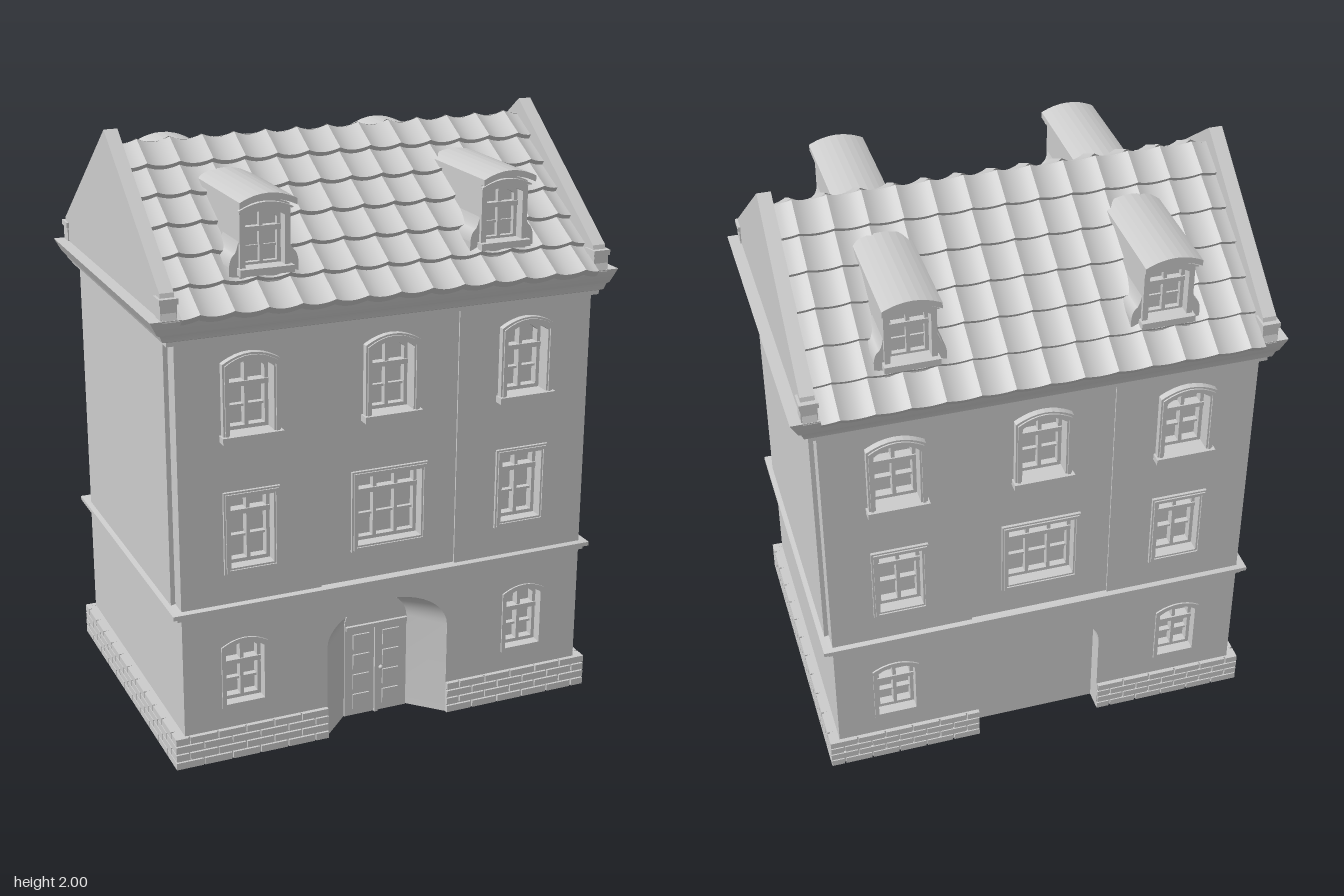
import * as THREE from 'three';
import { mergeGeometries, toCreasedNormals } from 'three/addons/utils/BufferGeometryUtils.js';

const stone = new THREE.MeshStandardMaterial({ color: 0xcccccc, side: THREE.DoubleSide });
stone.name = 'pale grey';

function add(parent, name, geo, x = 0, y = 0, z = 0) {
  const m = new THREE.Mesh(geo, stone);
  m.name = name;
  m.position.set(x, y, z);
  parent.add(m);
  return m;
}
const group = (parent, name) => {
  const g = new THREE.Group();
  g.name = name;
  parent.add(g);
  return g;
};
// Box given by its min and max corners
function block(parent, name, x0, x1, y0, y1, z0, z1) {
  return add(parent, name, new THREE.BoxGeometry(x1 - x0, y1 - y0, z1 - z0),
    (x0 + x1) / 2, (y0 + y1) / 2, (z0 + z1) / 2);
}
// Outline of an upright opening with a curved head; power 0.5 is elliptical, 1 a shallow segment
function archPoints(cx, w, y0, y1, rise, power = 1, n = 12) {
  const pts = [new THREE.Vector2(cx - w / 2, y0)];
  for (let i = 0; i <= n; i++) {
    const t = -Math.cos((i / n) * Math.PI);
    pts.push(new THREE.Vector2(cx + (t * w) / 2, y1 - rise + rise * Math.pow(Math.max(0, 1 - t * t), power)));
  }
  pts.push(new THREE.Vector2(cx + w / 2, y0));
  return pts;
}
function plate(outer, holes, depth) {
  const s = new THREE.Shape(outer);
  holes.forEach((h) => s.holes.push(new THREE.Path(h)));
  return new THREE.ExtrudeGeometry(s, { depth, bevelEnabled: false });
}
const rect = (x0, x1, y0, y1) =>
  [[x0, y0], [x1, y0], [x1, y1], [x0, y1]].map((p) => new THREE.Vector2(...p));

// Quads between successive cross-sections
function loft(rings, closed) {
  const n = rings[0].length, idx = [];
  for (let r = 0; r < rings.length - 1; r++) {
    for (let i = 0; i < (closed ? n : n - 1); i++) {
      const a = r * n + i, b = r * n + ((i + 1) % n);
      idx.push(a, b, b + n, a, b + n, a + n);
    }
  }
  const g = new THREE.BufferGeometry();
  g.setAttribute('position', new THREE.Float32BufferAttribute(rings.flat(2), 3));
  g.setIndex(idx);
  return toCreasedNormals(g, 0.5);
}
// Horizontal moulding from [halfX, halfZ, y] rings
const moulding = (rings) => loft(rings.map(([x, z, y]) => [[-x, y, z], [x, y, z], [x, y, -z], [-x, y, -z]]), true);

// Window set in a wall: surround, sash, glazing bars and optional sill
function windowUnit(parent, o, wall) {
  const g = group(parent, 'window');
  const { x, w, y0, y1, rise, b, proud } = o;
  const ow = w - 2 * b, t = 0.012;
  const hole = archPoints(x, ow, y0 + b, y1 - b, rise);
  add(g, 'surround', plate(archPoints(x, w, y0, y1, rise), [hole], proud + 0.01), 0, 0, wall - 0.01);
  if (proud > 0.008) {
    add(g, 'outerTrim', plate(archPoints(x, w - 0.012, y0 + 0.006, y1 - 0.006, rise),
      [archPoints(x, ow + 0.012, y0 + b - 0.006, y1 - b + 0.006, rise)], 0.005), 0, 0, wall + proud);
  }
  add(g, 'sash', plate(hole, [archPoints(x, ow - 2 * t, y0 + b + t, y1 - b - t, rise)], 0.03), 0, 0, wall - 0.06);
  const ym = y0 + (y1 - y0) * o.transom;
  block(g, 'transom', x - ow / 2, x + ow / 2, ym - 0.008, ym + 0.008, wall - 0.06, wall - 0.025);
  for (let i = 1; i < o.cols; i++) {
    const mx = x - ow / 2 + (ow * i) / o.cols;
    block(g, 'mullion', mx - 0.006, mx + 0.006, y0 + b, y1 - b, wall - 0.06, wall - 0.03);
  }
  const yb = (y0 + b + ym) / 2;
  block(g, 'glazingBar', x - ow / 2, x + ow / 2, yb - 0.004, yb + 0.004, wall - 0.06, wall - 0.04);
  if (o.sill) block(g, 'sill', x - w / 2 - 0.006, x + w / 2 + 0.006, y0, y0 + 0.022, wall - 0.04, wall + o.sill);
  return hole;
}

// One street face: ground floor with portal, three bays above
function facade(parent, name, hasDoor) {
  const g = group(parent, name);
  const portal = archPoints(0, 0.44, 0, 0.47, 0.14, 0.5, 20);
  const low = [[-0.72, 0], ...portal.map((p) => [p.x, p.y]), [0.72, 0], [0.72, 0.54], [-0.72, 0.54]]
    .map((p) => new THREE.Vector2(...p));
  const ground = [-0.51, 0.51].map((x) => windowUnit(g,
    { x, w: 0.16, y0: 0.185, y1: 0.43, rise: 0.025, b: 0.014, proud: 0.006, cols: 2, transom: 0.6 }, 0.525));
  add(g, 'groundWall', plate(low, ground, 0.06), 0, 0, 0.465);
  [-0.48, 0, 0.48].forEach((x, i) => {
    const mid = i === 1, wall = mid ? 0.519 : 0.525;
    const holes = [
      windowUnit(g, { x, w: mid ? 0.27 : 0.19, y0: 0.66, y1: 0.94, rise: 0, b: 0.022, proud: 0.01, cols: mid ? 3 : 2, transom: 0.7 }, wall),
      windowUnit(g, { x, w: 0.19, y0: 1.11, y1: 1.395, rise: 0.03, b: 0.022, proud: 0.022, cols: 2, transom: 0.6, sill: 0.036 }, wall),
    ];
    add(g, 'bayWall', plate(rect(x - 0.24, x + 0.24, 0.53, 1.46), holes, wall - 0.46), 0, 0, 0.46);
  });
  if (!hasDoor) return g;
  // Splayed reveal narrowing to a panelled door
  const inner = archPoints(0, 0.23, 0, 0.44, 0.1, 0.5, 20);
  add(g, 'doorReveal', loft([portal.map((p) => [p.x, p.y, 0.524]), inner.map((p) => [p.x, p.y, 0.42])], false));
  add(g, 'door', plate(inner, [], 0.02), 0, 0, 0.405);
  block(g, 'doorTransom', -0.112, 0.112, 0.325, 0.34, 0.42, 0.436);
  block(g, 'doorMeetingStile', -0.006, 0.006, 0, 0.325, 0.42, 0.434);
  for (const s of [-1, 1]) {
    [[0.025, 0.08], [0.1, 0.155], [0.175, 0.23], [0.25, 0.305]].forEach(([a, b]) =>
      block(g, 'doorPanel', s * 0.055 - 0.03, s * 0.055 + 0.03, a, b, 0.42, 0.431));
  }
  add(g, 'doorKnob', new THREE.SphereGeometry(0.008, 12, 8), 0.015, 0.17, 0.438);
  return g;
}

// Staggered brick courses along x, facing +z
function brickRun(a, b) {
  const parts = [], h = 0.115 / 4, len = 0.098;
  for (let r = 0; r < 4; r++) {
    for (let x = a - (r % 2) * len / 2; x < b - 0.005; x += len) {
      const x0 = Math.max(a, x), x1 = Math.min(b, x + len - 0.006);
      if (x1 - x0 < 0.01) continue;
      parts.push(new THREE.BoxGeometry(x1 - x0, h - 0.005, 0.02).translate((x0 + x1) / 2, h * (r + 0.5), 0));
    }
  }
  return mergeGeometries(parts);
}

// Overlapping rows of sagging pantiles on one slope
const roofY = (z) => 1.955 - 0.747 * z;
function tileSlope() {
  const rows = 6, pitch = 0.1092, steps = 104, parts = [];
  const len = 0.578 / rows, ny = 0.8, nz = 0.6;
  for (let r = 0; r < rows; r++) {
    const ring = (z, lift) => Array.from({ length: steps + 1 }, (_, i) => {
      const u = (i / steps) * 13 + 0.5, f = u - Math.floor(u);
      const h = lift + 0.016 * Math.pow(2 * f - 1, 2);
      return [-0.71 + i * pitch * 13 / steps, roofY(z) + h * ny, z + h * nz];
    });
    const z0 = r * len, z1 = z0 + len;
    parts.push(loft([ring(z1, -0.014), ring(z1, 0.012), ring(z0, -0.006)], false));
  }
  return mergeGeometries(parts);
}

function dormer(parent, x) {
  const g = group(parent, 'dormer');
  g.position.x = x;
  add(g, 'dormerBody', plate(archPoints(0, 0.164, 1.55, 1.85, 0.02), [], 0.315), 0, 0, 0.12);
  const hole = windowUnit(g, { x: 0, w: 0.164, y0: 1.62, y1: 1.835, rise: 0.02, b: 0.018, proud: 0.006, cols: 2, transom: 0.62, sill: 0.025 }, 0.482);
  add(g, 'dormerFront', plate(archPoints(0, 0.164, 1.59, 1.85, 0.02), [hole], 0.052), 0, 0, 0.43);
  // Curved roof slab with a thin fascia line under it
  const top = archPoints(0, 0.184, 1.85, 1.876, 0.024);
  const under = archPoints(0, 0.184, 1.83, 1.856, 0.024).slice(1, -1).reverse();
  add(g, 'dormerRoof', plate([...top.slice(1, -1), ...under], [], 0.395), 0, 0, 0.125);
  add(g, 'dormerFascia', plate(archPoints(0, 0.174, 1.82, 1.845, 0.022), [], 0.015), 0, 0, 0.487);
  // Scrolled side wings
  for (const s of [-1, 1]) {
    const wing = new THREE.Shape();
    wing.moveTo(s * 0.078, 1.59);
    wing.lineTo(s * 0.113, 1.59);
    wing.lineTo(s * 0.113, 1.645);
    wing.quadraticCurveTo(s * 0.11, 1.675, s * 0.095, 1.685);
    wing.quadraticCurveTo(s * 0.084, 1.7, s * 0.078, 1.75);
    add(g, 'dormerWing', new THREE.ExtrudeGeometry(wing, { depth: 0.14, bevelEnabled: false }), 0, 0, 0.335);
  }
}

export function createModel() {
  const house = new THREE.Group();
  house.name = 'townHouse';

  // Solid core, notched for the front doorway
  block(house, 'upperCore', -0.715, 0.715, 0.5, 1.5, -0.465, 0.465);
  block(house, 'middleCore', -0.225, 0.225, 0, 0.5, -0.465, 0.406);
  for (const s of [-1, 1]) {
    const lo = (a, b) => [Math.min(s * a, s * b), Math.max(s * a, s * b)];
    block(house, 'sideCore', ...lo(0.22, 0.72), 0, 0.53, -0.465, 0.465);
    block(house, 'sideWall', ...lo(0.7, 0.735), 0.54, 1.45, -0.465, 0.465);
    block(house, 'plinth', ...lo(0.22, 0.746), 0, 0.112, -0.531, 0.531);
    // Gable parapet with kneeler blocks
    const gable = [[-0.555, 1.52], [0.555, 1.52], [0.53, 1.605], [0, 2], [-0.53, 1.605]].map((p) => new THREE.Vector2(...p));
    const m = add(house, 'gable', plate(gable, [], 0.045), s > 0 ? 0.715 : -0.76);
    m.rotation.y = Math.PI / 2;
    for (const k of [-1, 1]) {
      add(house, 'kneeler', new THREE.BoxGeometry(0.052, 0.05, 0.05), s * 0.738, 1.55, k * 0.522);
      add(house, 'kneelerCap', new THREE.BoxGeometry(0.06, 0.018, 0.06), s * 0.738, 1.582, k * 0.522);
    }
    const side = add(house, 'plinthBricks', brickRun(-0.54, 0.54), s * 0.745);
    side.rotation.y = (s * Math.PI) / 2;
    for (const k of [-1, 1]) add(house, 'plinthBricks', brickRun(...lo(0.22, 0.755)), 0, 0, k * 0.53);
  }

  facade(house, 'frontFacade', true);
  facade(house, 'backFacade', false).rotation.y = Math.PI;

  // String course and cornice
  add(house, 'stringCourse', moulding([[0.715, 0.52, 0.52], [0.735, 0.531, 0.525], [0.735, 0.531, 0.535],
    [0.752, 0.541, 0.538], [0.752, 0.541, 0.552], [0.715, 0.515, 0.56]]));
  add(house, 'cornice', moulding([[0.71, 0.51, 1.435], [0.745, 0.532, 1.438], [0.745, 0.532, 1.452],
    [0.758, 0.538, 1.455], [0.766, 0.542, 1.475], [0.776, 0.545, 1.48], [0.8, 0.555, 1.525], [0, 0, 1.525]]));

  // Roof body and both tiled slopes
  const attic = add(house, 'roofBody', plate([[-0.555, 1.52], [0.555, 1.52], [0, 1.935]].map((p) => new THREE.Vector2(...p)), [], 1.43), -0.715);
  attic.rotation.y = Math.PI / 2;
  const tiles = tileSlope();
  for (const turn of [0, Math.PI]) {
    const slope = group(house, turn ? 'backRoof' : 'frontRoof');
    slope.rotation.y = turn;
    add(slope, 'roofTiles', tiles);
    dormer(slope, -0.408);
    dormer(slope, 0.408);
  }
  return house;
}
